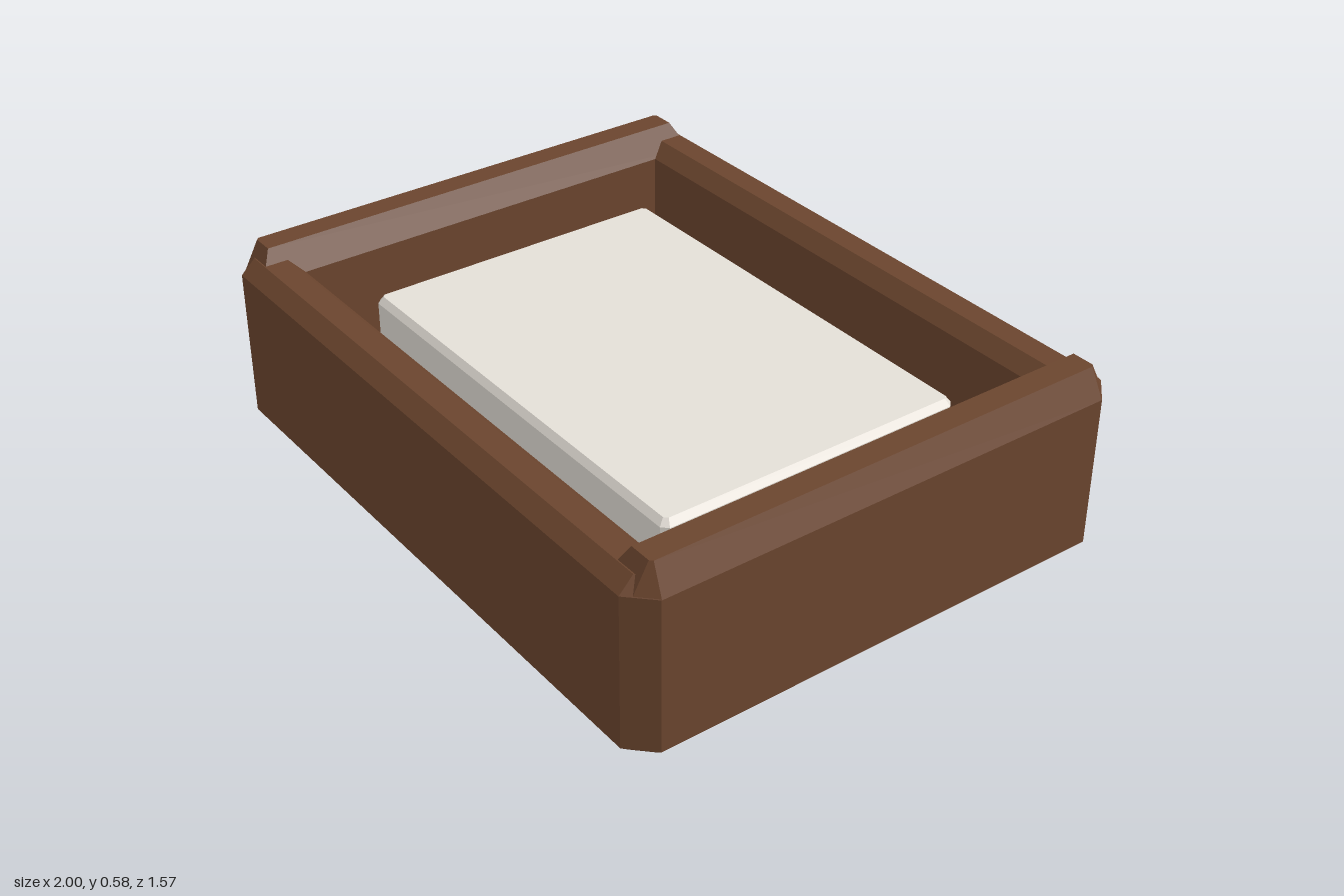
import * as THREE from 'three';

// Rectangle outline with cut corners, as [x, z] points running from +x towards +z
function outline(hx, hz, cut) {
  const c = cut;
  return [
    [hx, hz - c], [hx - c, hz], [-hx + c, hz], [-hx, hz - c],
    [-hx, -hz + c], [-hx + c, -hz], [hx - c, -hz], [hx, -hz + c],
  ];
}

// Skin stacked rings { y, pts }, optionally closing the first and last ring
function loft(rings, capped) {
  const pos = [];
  const tri = (...corners) => corners.forEach((p) => pos.push(...p));
  const loops = rings.map(({ y, pts }) => pts.map(([x, z]) => [x, y, z]));
  for (let i = 0; i < loops.length - 1; i++) {
    const lower = loops[i], upper = loops[i + 1], n = lower.length;
    for (let j = 0; j < n; j++) {
      const k = (j + 1) % n;
      tri(lower[j], upper[j], upper[k]);
      tri(lower[j], upper[k], lower[k]);
    }
  }
  if (capped) {
    const first = loops[0], last = loops[loops.length - 1];
    for (let j = 1; j < first.length - 1; j++) {
      tri(first[0], first[j], first[j + 1]);
      tri(last[0], last[j + 1], last[j]);
    }
  }
  const geometry = new THREE.BufferGeometry();
  geometry.setAttribute('position', new THREE.Float32BufferAttribute(pos, 3));
  geometry.computeVertexNormals();
  return geometry;
}

const ring = (hx, hz, cut, y) => ({ y, pts: outline(hx, hz, cut) });

export function createModel() {
  const group = new THREE.Group();
  const material = (color) => new THREE.MeshStandardMaterial({ color, flatShading: true });
  const wood = material(0x6b452e);
  const darkWood = material(0x5a3a2a);
  const fabric = material(0xe4dfd7);

  const add = (name, geometry, mat) => {
    const mesh = new THREE.Mesh(geometry, mat);
    mesh.name = name;
    group.add(mesh);
    return mesh;
  };

  // Bevelled frame: underside, outer wall, rim, inner wall
  add('frame', loft([
    ring(0.85, 0.64, 0, 0),
    ring(0.955, 0.74, 0.05, 0),
    ring(1, 0.783, 0.07, 0.045),
    ring(1, 0.783, 0.07, 0.5),
    ring(0.978, 0.74, 0.05, 0.543),
    ring(0.885, 0.667, 0, 0.543),
    ring(0.84, 0.625, 0, 0.5),
    ring(0.84, 0.625, 0, 0.08),
  ]), wood);

  // Raised rails along both sides
  for (const [name, s] of [['leftRail', 1], ['rightRail', -1]]) {
    const section = (inner, outer, hz, cut, y) => {
      const pts = [
        [inner, -hz], [outer - cut, -hz], [outer, -hz + cut],
        [outer, hz - cut], [outer - cut, hz], [inner, hz],
      ].map(([x, z]) => [s * x, z]);
      return { y, pts: s > 0 ? pts : pts.reverse() };
    };
    add(name, loft([
      section(0.84, 1, 0.76, 0.048, 0.5),
      section(0.885, 0.96, 0.714, 0.008, 0.585),
    ], true), wood);
  }

  // Floor panel
  const floor = add('floor', new THREE.BoxGeometry(1.72, 0.117, 1.3), darkWood);
  floor.position.y = 0.0615;

  // Cushion with softened edges
  add('cushion', loft([
    ring(0.685, 0.468, 0.01, 0.11),
    ring(0.7, 0.483, 0.018, 0.13),
    ring(0.7, 0.483, 0.018, 0.42),
    ring(0.685, 0.468, 0.01, 0.44),
  ], true), fabric);

  return group;
}
